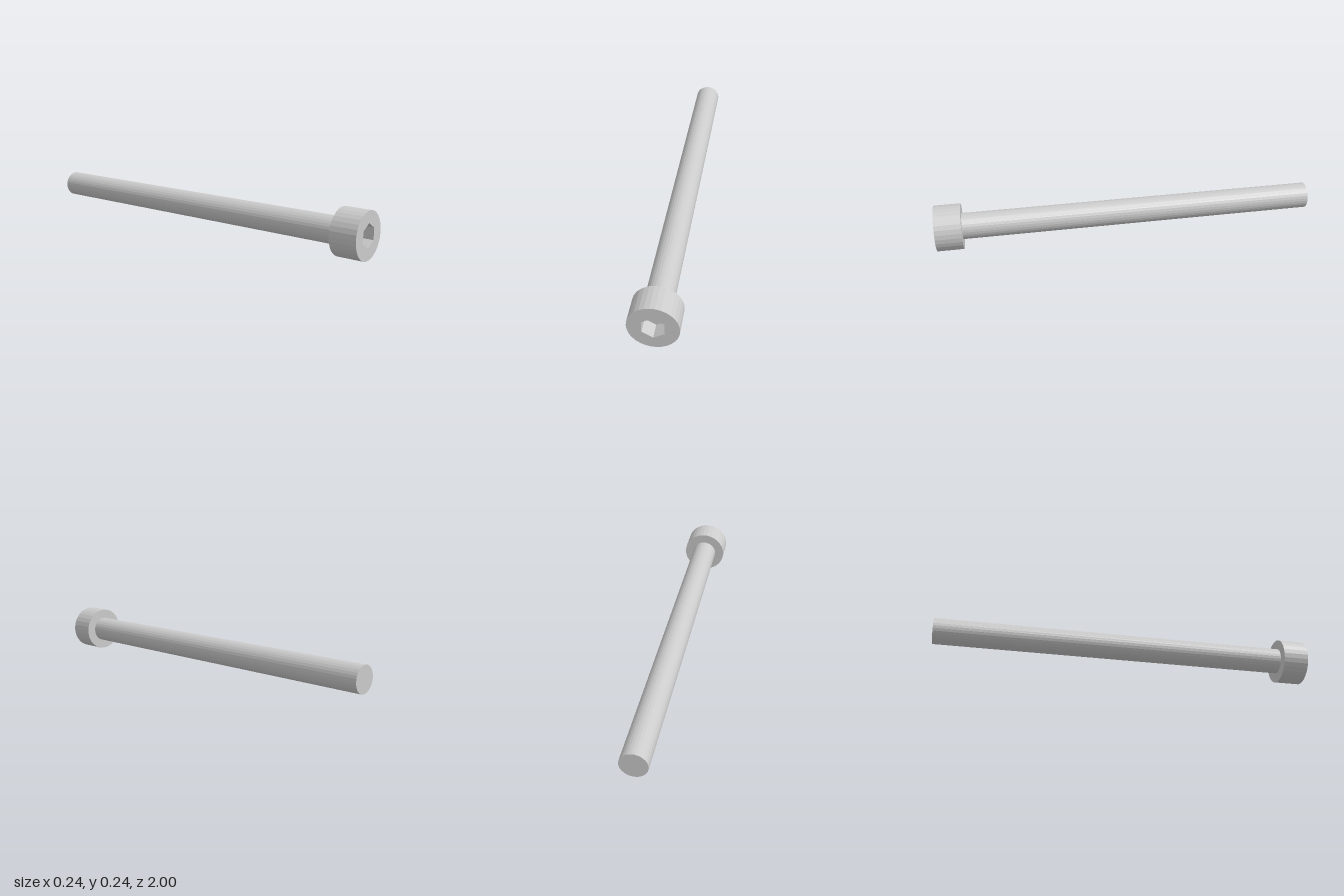
import * as THREE from 'three';

const SIDES = 30;
const HEAD_R = 0.1186, SHAFT_R = 0.0678, SOCKET_R = 0.0593;
const BACK = -1, SHOULDER = 0.864, FRONT = 1, SOCKET_DEPTH = 0.075;

// Points of a regular polygon in the xy plane
function ring(radius, sides, start) {
  return Array.from({ length: sides }, (_, i) => {
    const a = start + (i / sides) * Math.PI * 2;
    return new THREE.Vector2(Math.cos(a) * radius, Math.sin(a) * radius);
  });
}

// Faceted surface of revolution about z, from [radius, z] pairs
function turned(profile) {
  const points = profile.map(([r, z]) => new THREE.Vector2(r, z));
  return new THREE.LatheGeometry(points, SIDES, Math.PI / 2).rotateX(Math.PI / 2);
}

export function createModel() {
  const screw = new THREE.Group();
  screw.name = 'socketHeadScrew';
  const metal = new THREE.MeshStandardMaterial({ color: 0xcccccc, flatShading: true });
  const inner = metal.clone();
  inner.side = THREE.BackSide;

  const add = (name, geometry, material = metal, parent = screw) => {
    const mesh = new THREE.Mesh(geometry, material);
    mesh.name = name;
    parent.add(mesh);
  };

  // Plain shaft with a closed tip
  add('shaft', turned([[0, BACK], [SHAFT_R, BACK], [SHAFT_R, SHOULDER]]));

  // Head: underside and rim, then the front face with its hexagonal opening
  const head = new THREE.Group();
  head.name = 'head';
  screw.add(head);
  add('headRim', turned([[SHAFT_R, SHOULDER], [HEAD_R, SHOULDER], [HEAD_R, FRONT]]), metal, head);
  const face = new THREE.Shape(ring(HEAD_R, SIDES, 0));
  face.holes.push(new THREE.Path(ring(SOCKET_R, 6, Math.PI / 2)));
  add('headFace', new THREE.ShapeGeometry(face).translate(0, 0, FRONT), metal, head);

  // Hexagonal socket: walls seen from inside, and the floor
  const socket = new THREE.Group();
  socket.name = 'socket';
  head.add(socket);
  const walls = new THREE.CylinderGeometry(SOCKET_R, SOCKET_R, SOCKET_DEPTH, 6, 1, true);
  add('socketWalls', walls.rotateX(Math.PI / 2).translate(0, 0, FRONT - SOCKET_DEPTH / 2), inner, socket);
  const floor = new THREE.CircleGeometry(SOCKET_R, 6, Math.PI / 2);
  add('socketFloor', floor.translate(0, 0, FRONT - SOCKET_DEPTH), metal, socket);

  // Rest the head on the ground
  screw.position.y = HEAD_R * Math.cos(Math.PI / SIDES);
  return screw;
}
